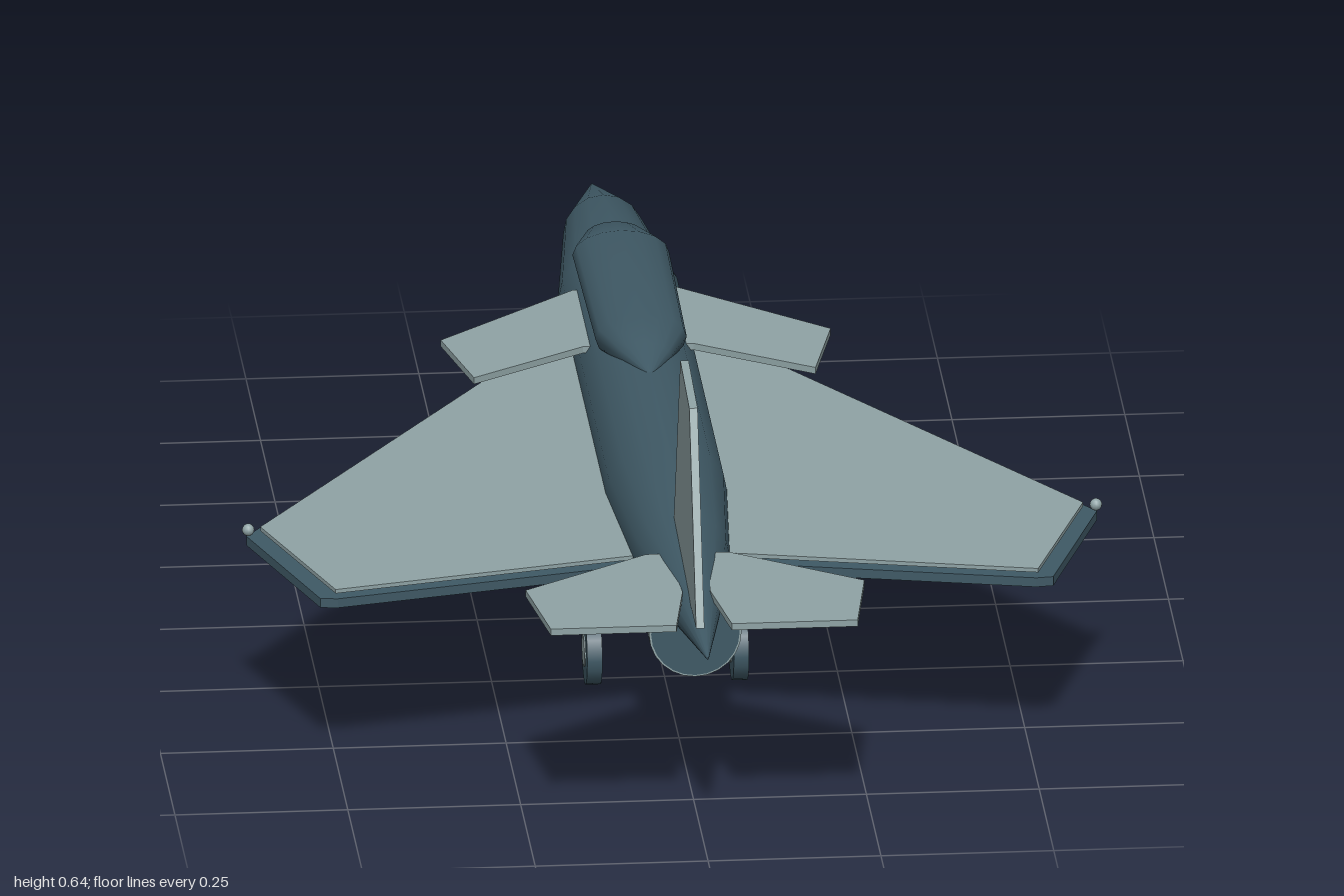
import * as THREE from 'three';

export function createModel() {
  const model = new THREE.Group();
  model.name = 'jetAircraft';
  const dark = new THREE.MeshStandardMaterial({ color: 0x3f5965 });
  dark.name = 'dark slate';
  const light = new THREE.MeshStandardMaterial({ color: 0x8fa3a5 });
  light.name = 'pale grey';

  function add(name, geometry, material, x = 0, y = 0, z = 0, parent = model) {
    const mesh = new THREE.Mesh(geometry, material);
    mesh.name = name;
    mesh.position.set(x, y, z);
    parent.add(mesh);
    return mesh;
  }

  // Smooth skin through elliptical rings given as [z, centreY, radiusX, radiusY]
  function loft(rings, sides = 16) {
    const pos = [], index = [];
    rings.forEach(([z, cy, rx, ry], i) => {
      for (let j = 0; j < sides; j++) {
        const a = (j / sides) * Math.PI * 2;
        pos.push(rx * Math.cos(a), cy + ry * Math.sin(a), z);
        if (i === rings.length - 1) continue;
        const p = i * sides + j, q = i * sides + (j + 1) % sides;
        index.push(p, q, p + sides, q, q + sides, p + sides);
      }
    });
    const g = new THREE.BufferGeometry();
    g.setAttribute('position', new THREE.Float32BufferAttribute(pos, 3));
    g.setIndex(index);
    g.computeVertexNormals();
    return g;
  }

  const extrude = (points, depth) => new THREE.ExtrudeGeometry(
    new THREE.Shape(points.map(([x, y]) => new THREE.Vector2(x, y))),
    { depth, bevelEnabled: false });

  // Flat pair of surfaces from an (x, z) outline, mirrored left and right
  function platePair(name, outline, top, thickness, material) {
    for (const s of [1, -1]) {
      const g = extrude(outline.map(([x, z]) => [s * x, z]), thickness);
      g.rotateX(Math.PI / 2);
      add((s > 0 ? 'left' : 'right') + name, g, material, 0, top, 0);
    }
  }

  // Body and canopy
  add('fuselage', loft([
    [-1, 0.285, 0.0005, 0.0005], [-0.8, 0.286, 0.058, 0.058],
    [-0.52, 0.285, 0.09, 0.09], [0.28, 0.285, 0.09, 0.09],
    [0.55, 0.298, 0.069, 0.067], [0.8, 0.309, 0.035, 0.036],
    [1, 0.31, 0.0005, 0.0005],
  ]), dark);
  add('canopy', loft([
    [-0.68, 0.342, 0.002, 0.002], [-0.61, 0.355, 0.042, 0.02],
    [-0.5, 0.367, 0.07, 0.036], [-0.15, 0.37, 0.066, 0.037],
    [-0.07, 0.371, 0.036, 0.022], [0.01, 0.372, 0.001, 0.001],
  ]), dark);

  // Engine housing under the tail, with dark exhaust face
  const engine = new THREE.CylinderGeometry(0.067, 0.067, 0.56, 24);
  engine.rotateX(Math.PI / 2);
  add('engine', engine, light, 0, 0.268, 0.5);
  add('exhaust', new THREE.CircleGeometry(0.064, 24), dark, 0, 0.268, 0.782);

  // Dark wings with a pale upper skin
  platePair('Wing', [[0.03, -0.4], [0.1, -0.4], [0.615, 0.375], [0.53, 0.635], [0.505, 0.638], [0.05, 0.535]],
    0.283, 0.014, dark);
  platePair('WingSkin', [[0.03, -0.4], [0.085, -0.4], [0.595, 0.375], [0.508, 0.637], [0.085, 0.54], [0.03, 0.53]],
    0.297, 0.006, light);

  // Foreplanes and tailplanes
  platePair('Foreplane', [[0.03, -0.43], [0.075, -0.43], [0.282, -0.244], [0.247, -0.088], [0.08, -0.2], [0.03, -0.2]],
    0.34, 0.01, light);
  platePair('Tailplane', [[0.03, 0.645], [0.06, 0.645], [0.245, 0.775], [0.222, 0.935], [0.04, 0.935], [0.02, 0.8]],
    0.34, 0.01, light);

  // Upright fin
  const fin = extrude([[0.937, 0.335], [0.82, 0.63], [0.665, 0.645], [0.545, 0.335]], 0.012);
  fin.rotateY(-Math.PI / 2);
  add('tailFin', fin, light);

  // Wingtip lamps
  for (const s of [1, -1]) {
    add('wingtipLamp', new THREE.SphereGeometry(0.009, 12, 8), light, s * 0.613, 0.295, 0.38);
  }

  // Landing gear: strut, tyre and hub
  function gear(name, x, z, top) {
    const group = new THREE.Group();
    group.name = name;
    group.position.set(x, 0, z);
    model.add(group);
    const h = top - 0.05;
    add('strut', new THREE.CylinderGeometry(0.008, 0.008, h, 10), light, 0, 0.05 + h / 2, 0, group);
    add('tyre', new THREE.CylinderGeometry(0.05, 0.05, 0.022, 20).rotateZ(Math.PI / 2), dark, 0, 0.05, 0, group);
    add('hub', new THREE.CylinderGeometry(0.024, 0.024, 0.026, 16).rotateZ(Math.PI / 2), light, 0, 0.05, 0, group);
  }
  gear('noseGear', 0, -0.575, 0.22);
  gear('leftMainGear', 0.106, 0.265, 0.27);
  gear('rightMainGear', -0.106, 0.265, 0.27);

  return model;
}
